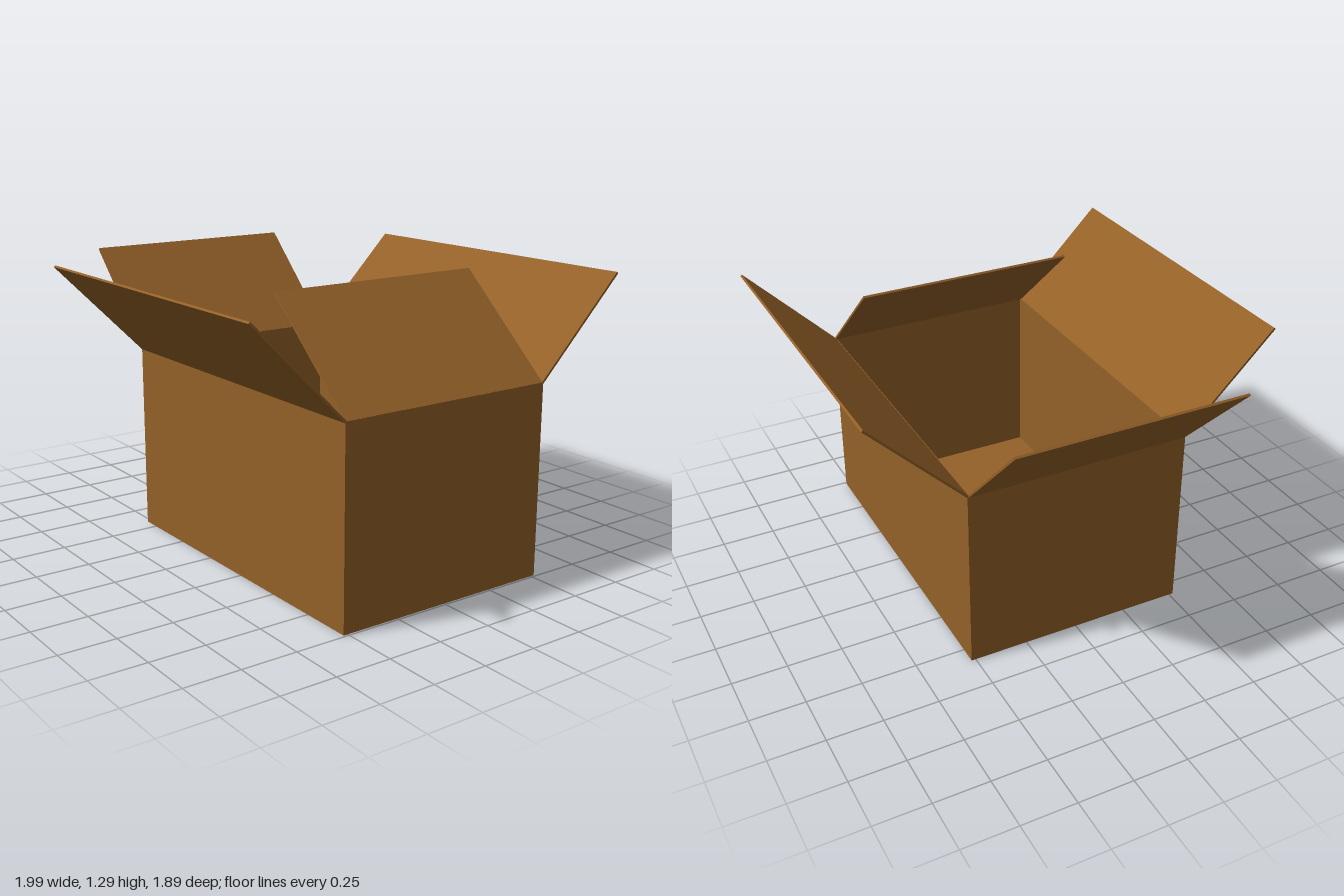
import * as THREE from 'three';

export function createModel() {
  const model = new THREE.Group();
  model.name = 'openCardboardBox';

  const cardboard = new THREE.MeshStandardMaterial({ color: 0x946128 });
  cardboard.name = 'cardboard brown';

  const T = 0.01; // board thickness
  const X0 = -0.58, X1 = 0.99, Z = 0.52, H = 0.865;
  const W = X1 - X0, CX = (X0 + X1) / 2;

  function board(name, size, position) {
    const mesh = new THREE.Mesh(new THREE.BoxGeometry(...size), cardboard);
    mesh.name = name;
    mesh.position.set(...position);
    model.add(mesh);
    return mesh;
  }

  // Floor and four walls
  board('floor', [W, T, 2 * Z], [CX, T / 2, 0]);
  board('frontWall', [W, H, T], [CX, H / 2, Z - T / 2]);
  board('backWall', [W, H, T], [CX, H / 2, -Z + T / 2]);
  board('rightWall', [T, H, 2 * (Z - T)], [X0 + T / 2, H / 2, 0]);
  board('leftWall', [T, H, 2 * (Z - T)], [X1 - T / 2, H / 2, 0]);

  // Side flaps: hinge and free edge given as [x, y]
  function sideFlap(name, a, b) {
    const dx = b[0] - a[0], dy = b[1] - a[1];
    const flap = board(name, [Math.hypot(dx, dy), T, 2 * Z - 0.01],
      [(a[0] + b[0]) / 2, (a[1] + b[1]) / 2, 0]);
    flap.rotation.z = Math.atan2(dy, dx);
  }
  sideFlap('rightFlap', [X0 + 0.003, H - 0.003], [-0.996, 1.283]);
  sideFlap('leftFlap', [X1 - 0.004, H - 0.003], [0.517, 1.284]); // leans inward

  // Front and back flaps: hinge and free edge given as [z, y], both leaning outward
  function longFlap(name, a, b) {
    const dz = b[0] - a[0], dy = b[1] - a[1];
    const flap = board(name, [W, T, Math.hypot(dz, dy)],
      [CX, (a[1] + b[1]) / 2, (a[0] + b[0]) / 2]);
    flap.rotation.x = -Math.atan2(dy, dz);
  }
  longFlap('frontFlap', [Z - 0.003, H - 0.003], [0.942, 1.288]);
  longFlap('backFlap', [-Z + 0.003, H - 0.003], [-0.942, 1.288]);

  return model;
}
